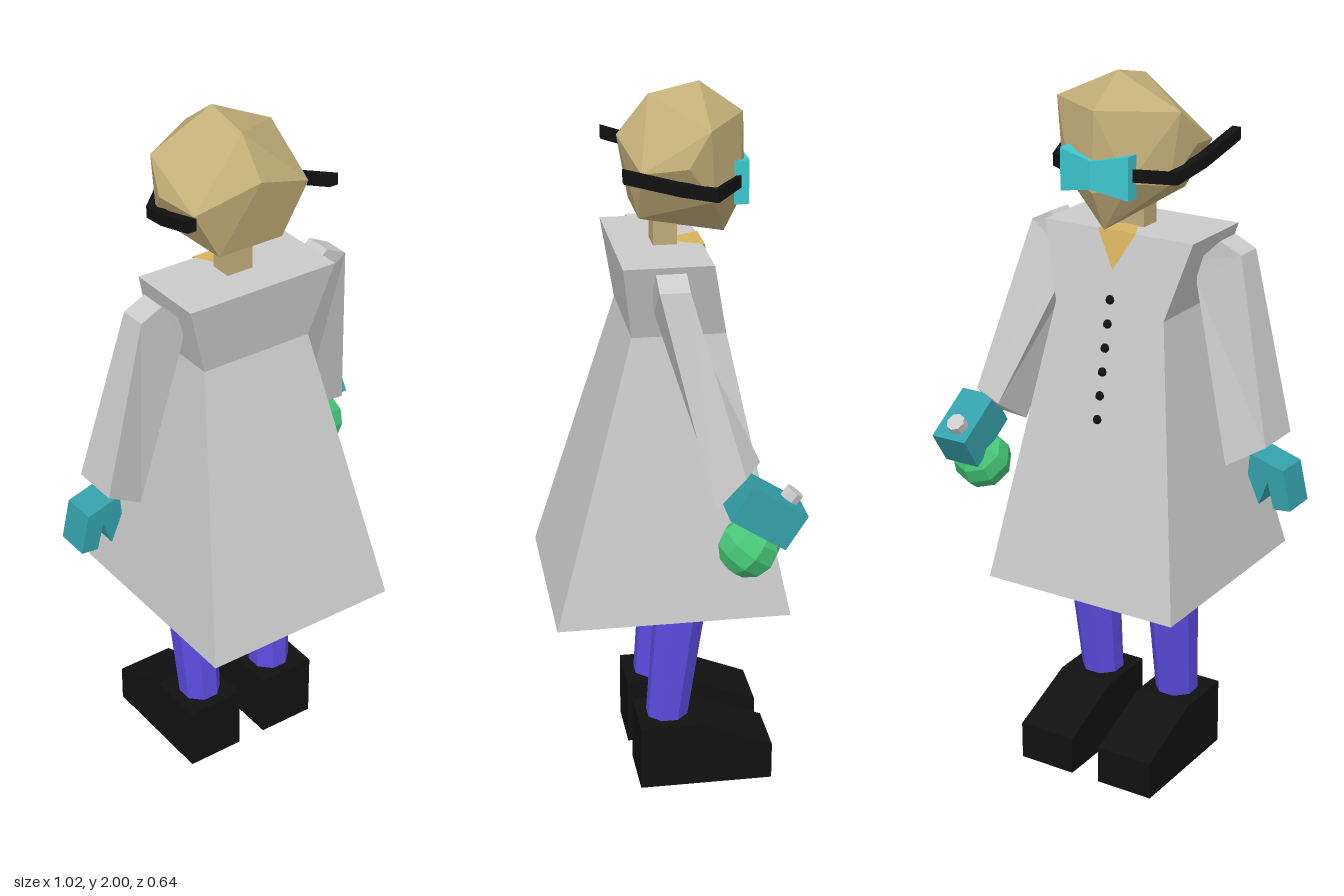
import * as THREE from 'three';
import { ConvexGeometry } from 'three/addons/geometries/ConvexGeometry.js';

const CX = 0.01; // body's centre line
const V = (x, y, z) => new THREE.Vector3(x, y, z);
const mat = (color) => new THREE.MeshStandardMaterial({ color, flatShading: true, side: THREE.DoubleSide });

// Skin between equal-length rings of points, with optional end caps
function loft(rings, capStart = true, capEnd = true) {
  const pos = [];
  const tri = (...pts) => pts.forEach((p) => pos.push(p.x, p.y, p.z));
  const n = rings[0].length;
  for (let r = 0; r < rings.length - 1; r++) {
    for (let i = 0; i < n; i++) {
      const j = (i + 1) % n, a = rings[r], b = rings[r + 1];
      tri(a[i], b[j], a[j]);
      tri(a[i], b[i], b[j]);
    }
  }
  for (let i = 1; i < n - 1; i++) {
    const a = rings[0], b = rings[rings.length - 1];
    if (capStart) tri(a[0], a[i], a[i + 1]);
    if (capEnd) tri(b[0], b[i + 1], b[i]);
  }
  const g = new THREE.BufferGeometry();
  g.setAttribute('position', new THREE.Float32BufferAttribute(pos, 3));
  g.computeVertexNormals();
  return g;
}

function extrude(points, depth) {
  const shape = new THREE.Shape(points.map(([x, y]) => new THREE.Vector2(x, y)));
  return new THREE.ExtrudeGeometry(shape, { depth, bevelEnabled: false });
}

export function createModel() {
  const model = new THREE.Group();
  const coatMat = mat(0xcccccc), skin = mat(0xc2ae78), shirtMat = mat(0xd8b45e);
  const lens = mat(0x3cc8d0), glove = mat(0x34a0aa), black = mat(0x111111);
  const green = mat(0x48c878), purple = mat(0x5c4ce0);
  const add = (name, geometry, material, parent = model) => {
    const m = new THREE.Mesh(geometry, material);
    m.name = name;
    parent.add(m);
    return m;
  };

  // Coat: open at the hem, closed at the shoulders
  const rect = (y, hw, zBack, zFront) => [
    V(CX - hw, y, zFront), V(CX + hw, y, zFront), V(CX + hw, y, zBack), V(CX - hw, y, zBack)];
  add('coat', loft([
    rect(0.57, 0.297, 0.325, -0.32), rect(1.36, 0.17, 0.1, -0.154), rect(1.57, 0.232, 0.13, -0.11),
  ], false, true), coatMat);

  // Shirt showing at the open collar
  add('shirtCollar', new THREE.BufferGeometry().setFromPoints([
    V(CX - 0.06, 1.573, -0.114), V(CX + 0.06, 1.573, -0.114), V(CX, 1.47, -0.136),
    V(CX + 0.06, 1.573, -0.114), V(CX - 0.06, 1.573, -0.114), V(CX, 1.573, 0),
  ]), shirtMat).geometry.computeVertexNormals();

  // Buttons down the sloping front
  for (let i = 0; i < 6; i++) {
    const y = 1.39 - i * 0.064;
    add('button', new THREE.SphereGeometry(0.013, 8, 6), black)
      .position.set(CX, y, -0.11 - 0.21 * (1.57 - y));
  }

  // Neck and faceted head
  add('neck', new THREE.BoxGeometry(0.08, 0.13, 0.065), skin).position.set(CX, 1.6, -0.01);
  const headPts = [
    V(CX, 2, -0.105), V(CX, 1.915, -0.223), V(CX, 1.97, 0.03), V(CX, 1.865, 0.114),
    V(CX, 1.59, -0.175), V(CX, 1.62, -0.01), V(CX, 1.7, -0.23),
  ];
  for (const s of [-1, 1]) {
    headPts.push(
      V(CX + s * 0.19, 1.912, -0.105), V(CX + s * 0.205, 1.82, -0.046), V(CX + s * 0.18, 1.805, 0.074),
      V(CX + s * 0.1, 1.665, 0.07), V(CX + s * 0.165, 1.72, -0.12), V(CX + s * 0.09, 1.73, -0.2));
  }
  add('head', new ConvexGeometry(headPts), skin);

  // Goggles: bent lens pinched over the nose, with straps running back
  const lensRing = (x, h, z) => [
    V(CX + x, 1.75 + h, z), V(CX + x, 1.75 - h, z), V(CX + x, 1.75 - h, z + 0.04), V(CX + x, 1.75 + h, z + 0.04)];
  add('goggleLens', loft([
    lensRing(-0.104, 0.058, -0.222), lensRing(0, 0.037, -0.24), lensRing(0.104, 0.058, -0.222)]), lens);
  for (const s of [-1, 1]) {
    const ring = (x, y, z) => [
      V(CX + s * (x - 0.013), y - 0.017, z), V(CX + s * (x + 0.013), y - 0.017, z),
      V(CX + s * (x + 0.013), y + 0.017, z), V(CX + s * (x - 0.013), y + 0.017, z)];
    add('goggleStrap', loft([
      ring(0.095, 1.755, -0.2), ring(0.18, 1.742, -0.125), ring(0.205, 1.77, -0.02), ring(0.222, 1.815, 0.127),
    ]), black);
  }

  // Sleeves: square sections from shoulder to cuff
  const shoulder = (s) => [
    [V(CX + s * 0.2, 1.5, -0.03), V(CX + s * 0.267, 1.565, -0.03),
      V(CX + s * 0.267, 1.565, 0.05), V(CX + s * 0.2, 1.5, 0.05)],
    [V(CX + s * 0.2, 1.44, -0.035), V(CX + s * 0.33, 1.535, -0.03),
      V(CX + s * 0.33, 1.535, 0.05), V(CX + s * 0.2, 1.44, 0.045)],
  ];
  add('rightSleeve', loft([...shoulder(-1), [
    V(-0.325, 0.97, -0.105), V(-0.437, 1.04, -0.09), V(-0.437, 1.04, 0.05), V(-0.325, 0.97, 0.03)]]), coatMat);
  add('leftSleeve', loft([...shoulder(1), [
    V(0.335, 1.05, -0.22), V(0.45, 1.055, -0.16), V(0.45, 0.97, -0.08), V(0.325, 0.97, -0.1)]]), coatMat);

  // Right hand: mitten with a separate thumb
  add('rightGlove', extrude([
    [-0.485, 0.98], [-0.385, 1.01], [-0.38, 0.95], [-0.415, 0.87],
    [-0.44, 0.94], [-0.46, 0.865], [-0.51, 0.87]], 0.1), glove).position.z = -0.08;

  // Left hand gripping a round flask
  const hand = add('leftGlove', new THREE.BoxGeometry(0.11, 0.11, 0.175), glove);
  hand.position.set(0.437, 0.957, -0.215);
  hand.rotation.set(-0.57, 0, 0);
  const flask = new THREE.Group();
  flask.name = 'flask';
  flask.position.set(0.427, 0.85, -0.175);
  flask.rotation.x = -0.67;
  model.add(flask);
  add('flaskBulb', new THREE.SphereGeometry(0.084, 8, 6), green, flask);
  add('flaskNeck', new THREE.CylinderGeometry(0.027, 0.027, 0.17, 8), coatMat, flask).position.y = 0.11;

  // Trouser legs and wedge-toed boots
  const bootProfile = [[0.085, 0], [0.085, 0.195], [-0.085, 0.195], [-0.295, 0.11], [-0.295, 0]];
  for (const s of [-1, 1]) {
    const ring = (x, y, z, r) => Array.from({ length: 8 }, (_, i) => {
      const a = (i + 0.5) * Math.PI / 4;
      return V(CX + s * x + r * Math.cos(a), y, z + r * Math.sin(a));
    });
    add(s > 0 ? 'leftLeg' : 'rightLeg', loft([
      ring(0.126, 0.17, 0, 0.06), ring(0.132, 0.6, -0.045, 0.077), ring(0.1, 0.95, 0, 0.085)]), purple);
    const boot = add(s > 0 ? 'leftBoot' : 'rightBoot', extrude(bootProfile, 0.172), black);
    boot.rotation.y = -Math.PI / 2;
    boot.position.x = CX + s * 0.13 + 0.086;
  }
  return model;
}
